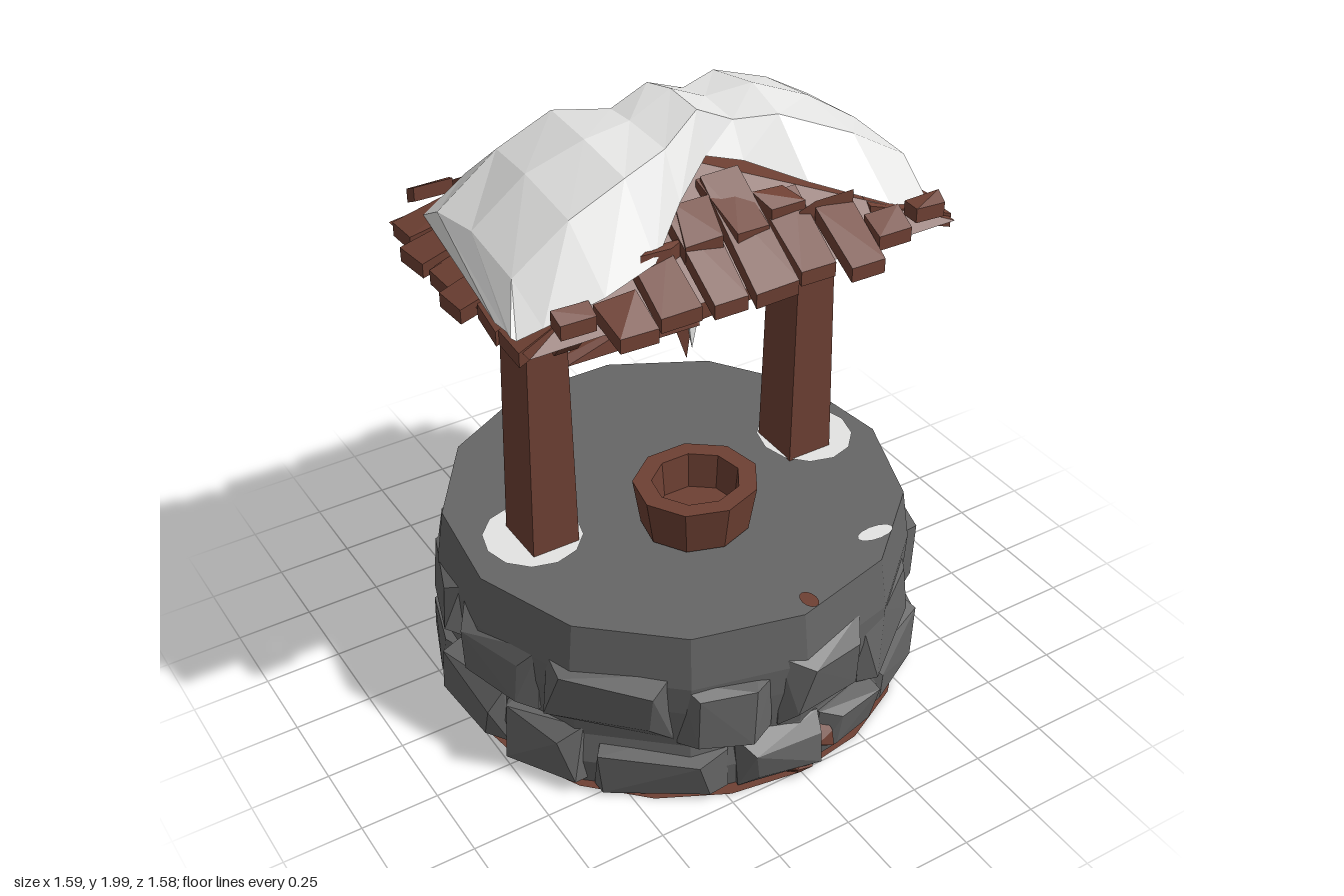
import * as THREE from 'three';
import { ConvexGeometry } from 'three/addons/geometries/ConvexGeometry.js';
import { mergeGeometries } from 'three/addons/utils/BufferGeometryUtils.js';

const material = (name, color, side = THREE.FrontSide) => {
  const m = new THREE.MeshStandardMaterial({ color, side, flatShading: true });
  m.name = name;
  return m;
};

// Small seeded random, from a to b
let seed = 11;
const rnd = (a, b) => {
  seed = (seed * 16807) % 2147483647;
  return a + (b - a) * (seed / 2147483647);
};

// Chunky solid spanned by its corner points
const hull = (pts) => new ConvexGeometry(pts.map((p) => new THREE.Vector3(...p)));

// Height of the hipped roof surface
const roofY = (x, z) => Math.max(1.58, Math.min(1.86 - Math.abs(x) * 0.38, 1.61 + (0.5 - Math.abs(z)) / 1.4));

// Open surface from equal-length rows of points
function skin(rows) {
  const n = rows[0].length, index = [];
  for (let i = 0; i < rows.length - 1; i++) {
    for (let j = 0; j < n - 1; j++) {
      const a = i * n + j, b = a + n;
      index.push(a, a + 1, b, a + 1, b + 1, b);
    }
  }
  const g = new THREE.BufferGeometry();
  g.setAttribute('position', new THREE.Float32BufferAttribute(rows.flat(2), 3));
  g.setIndex(index);
  const flat = g.toNonIndexed();
  flat.computeVertexNormals();
  return flat;
}

// Rough stone bent around the wall
function stone(angle, arc, y0, y1, rOut) {
  const pts = [];
  for (const s of [-1, 1]) {
    for (const y of [y0, y1]) {
      const up = y === y0 ? 1 : -1;
      const put = (r, a, h) => pts.push([Math.sin(a) * r, Math.max(0.004, h), Math.cos(a) * r]);
      put(0.64, angle + s * arc * 0.5, y);
      put(0.73, angle + s * arc * rnd(0.46, 0.56), y + up * rnd(-0.02, 0.02));
      put(rOut + rnd(-0.04, 0.01), angle + s * arc * rnd(0.24, 0.46), y + up * rnd(0, 0.06));
    }
  }
  return hull(pts);
}

export function createModel() {
  seed = 11;
  const well = new THREE.Group();
  well.name = 'well';
  const stoneMat = material('stone grey', 0x666666);
  const wood = material('wood brown', 0x6e4033, THREE.DoubleSide);
  const snow = material('snow white', 0xe4e4e3, THREE.DoubleSide);
  const add = (name, geo, mat) => {
    const m = new THREE.Mesh(geo, mat);
    m.name = name;
    well.add(m);
  };

  // Wall core with its top slab
  const profile = [[0.735, 0.003], [0.752, 0.1], [0.735, 0.2], [0.755, 0.35], [0.76, 0.45], [0.735, 0.625], [0, 0.625]];
  add('wallCore', new THREE.LatheGeometry(profile.map((p) => new THREE.Vector2(...p)), 13), stoneMat);
  add('bottom', new THREE.CircleGeometry(0.755, 20).rotateX(Math.PI / 2), wood);

  // Two courses of uneven stones
  const stones = [];
  for (const [y0, y1, r, turn, count] of [[0, 0.2, 0.795, 0.1, 13], [0.24, 0.475, 0.79, 0.35, 12]]) {
    const widths = Array.from({ length: count }, () => rnd(0.6, 1.2));
    const total = widths.reduce((a, b) => a + b);
    let angle = turn;
    for (const w of widths) {
      const arc = (w / total) * Math.PI * 2;
      stones.push(stone(angle + arc / 2, arc * rnd(0.85, 1), y0 + (y0 ? rnd(-0.06, 0.05) : 0), y1 + rnd(-0.04, 0.01), r));
      angle += arc;
    }
  }
  add('stones', mergeGeometries(stones), stoneMat);

  // Bits of wood showing between the stones
  const bits = [[0.1, 0.1, 0.05, 0.14], [0, 0.12, 0.004, 0.04], [1.6, 0.06, 0.27, 0.32], [0.75, 0.1, 0.004, 0.05],
    [2.35, 0.12, 0.004, 0.04], [3.6, 0.1, 0.22, 0.26], [4.4, 0.12, 0.004, 0.05]];
  add('woodBits', mergeGeometries(bits.map((b) => stone(...b, 0.775))), wood);

  // Flat patches on the slab: [x, z, radius x, radius z]
  const patch = (x, z, rx, rz) =>
    new THREE.CircleGeometry(1, 12).rotateX(-Math.PI / 2).scale(rx, 1, rz).translate(x, 0.63, z);
  add('snowPatches', mergeGeometries([
    patch(0.52, -0.01, 0.155, 0.165), patch(-0.5, -0.01, 0.155, 0.16), patch(0.4, 0.54, 0.065, 0.03),
  ]), snow);
  add('woodPatches', mergeGeometries([patch(-0.23, -0.63, 0.037, 0.063), patch(0.045, 0.69, 0.025, 0.037)]), wood);

  // Posts with braces reaching to both eaves
  for (const s of [-1, 1]) {
    const pts = [];
    for (const z of [-1, 1]) {
      pts.push([s * 0.392, 0.62, z * 0.09], [s * 0.55, 0.62, z * 0.09]);
      pts.push([s * 0.408, 1.66, z * 0.078], [s * 0.53, 1.66, z * 0.078]);
    }
    add(s > 0 ? 'leftPost' : 'rightPost', hull(pts), wood);
    for (const z of [-1, 1]) {
      const brace = [];
      for (const x of [0.46, 0.535]) {
        for (const [y, d] of [[1.5, 0.07], [1.44, 0.25], [1.58, 0.36], [1.64, 0.3], [1.65, 0.07]]) {
          brace.push([s * x, y, z * d]);
        }
      }
      add('brace', hull(brace), wood);
    }
  }

  // Winding bar: pointed half and straight half, with a hook
  add('windingBar', mergeGeometries([
    hull([[-0.38, 1.22, 0.02], [-0.38, 1.235, -0.01], [-0.02, 1.34, 0.03], [-0.02, 1.33, -0.06],
      [-0.03, 1.2, 0], [0.06, 1.24, 0.06], [0.08, 1.33, 0]]),
    hull([[-0.02, 1.34, 0.03], [0, 1.33, -0.05], [0.04, 1.24, 0.04], [0.04, 1.25, -0.04],
      [0.42, 1.34, 0.04], [0.42, 1.34, -0.04], [0.42, 1.27, 0.04], [0.42, 1.27, -0.04]]),
  ]), wood);
  add('hook', hull([[0.0, 1.22, 0.02], [0.06, 1.25, 0.02], [0.04, 1.25, -0.03], [0.045, 1.1, 0.01]]), wood);
  add('icicle', hull([[0.03, 1.23, 0.05], [0.08, 1.24, 0.02], [0.06, 1.24, -0.03], [0.055, 1.14, 0.025]]), snow);

  // Open bucket
  const bucketProfile = [[0, 0.635], [0.175, 0.635], [0.2, 0.79], [0.14, 0.79], [0.13, 0.67], [0, 0.67]];
  const bucket = new THREE.LatheGeometry(bucketProfile.map((p) => new THREE.Vector2(...p)), 9);
  add('bucket', bucket.scale(1, 1, 0.93).translate(-0.035, 0, 0.195), wood);
  add('bucketHandle', hull([[0.12, 0.78, 0.22], [0.165, 0.74, 0.17], [0.16, 0.64, 0.19], [0.1, 0.72, 0.17]]), wood);

  // Roof boards: open hipped shell
  const e = 0.7, d = 0.43, y = 1.585, top = 1.84;
  add('roofShell', mergeGeometries([
    skin([[[-e, y, -d], [-e, y, d]], [[0, top, -0.17], [0, top, 0.15]], [[e, y, -d], [e, y, d]]]),
    skin([[[-e, y, d], [e, y, d]], [[0, top, 0.15], [0, top, 0.15]]]),
    skin([[[e, y, -d], [-e, y, -d]], [[0, top, -0.17], [0, top, -0.17]]]),
  ]), wood);

  // Shingle lying between two points on the roof, spread along x or z
  const shingle = (a, b, w, across, lift) => {
    const pts = [];
    for (const p of [a, b]) {
      for (const s of [-1, 1]) {
        const o = s * w * rnd(0.38, 0.52);
        const tip = rnd(-0.012, 0.012);
        for (const h of [lift, lift - 0.045]) {
          pts.push([p[0] + (across === 'x' ? o : tip), p[1] + h + tip, p[2] + (across === 'z' ? o : tip)]);
        }
      }
    }
    return hull(pts);
  };
  const shingles = [];
  for (const s of [-1, 1]) {
    // front and back courses
    for (let i = 0; i < 9; i++) {
      const x = -0.56 + i * 0.145 + rnd(-0.012, 0.012);
      const hip = Math.min(0.4, 0.19 + Math.abs(x) * 0.5);
      const z0 = rnd(0.47, 0.53) - (Math.abs(x) > 0.5 ? 0.06 : 0);
      shingles.push(shingle([x, roofY(0, z0), s * z0], [x, roofY(0, hip) - 0.015, s * hip], 0.14, 'x', rnd(0.0, 0.025)));
      if (Math.abs(x) < 0.35) {
        const z1 = rnd(0.34, 0.39);
        shingles.push(shingle([x, roofY(0, z1), s * z1], [x * 0.8, roofY(0, hip) - 0.025, s * hip], 0.13, 'x', 0.03));
      }
    }
    // side courses
    for (let i = 0; i < 6; i++) {
      const z = -0.335 + i * 0.134;
      const x0 = rnd(0.7, 0.765);
      shingles.push(shingle([s * x0, 1.86 - x0 * 0.38, z], [s * 0.45, 1.67, z * 0.9], 0.135, 'z', rnd(0, 0.025)));
    }
  }
  add('shingles', mergeGeometries(shingles), wood);

  // Snow blanket, cross-sections along x: [x, back z, front z, crest y]
  const sections = [
    [-0.7, 0.26, 0.36, 1.62], [-0.63, -0.34, 0.38, 1.74], [-0.46, -0.41, 0.41, 1.87], [-0.28, -0.35, 0.37, 1.94],
    [-0.13, -0.22, 0.25, 1.94], [0.01, -0.19, 0.16, 1.99], [0.13, -0.22, 0.17, 1.93], [0.27, -0.36, 0.29, 1.94],
    [0.48, -0.43, 0.4, 1.86], [0.65, -0.4, 0.37, 1.75], [0.765, -0.23, -0.03, 1.6],
  ];
  const spread = [0, 0.2, 0.5, 0.8, 1];
  add('snowBlanket', skin(sections.map(([x, z0, z1, crest]) => spread.map((t, j) => {
    const inner = j > 0 && j < 4;
    const base = roofY(x, t < 0.5 ? z0 : z1) + 0.01;
    const rise = j === 2 ? 1 : inner ? 0.95 - Math.abs(x) * 0.25 : 0;
    const jitter = inner ? 0.025 : 0;
    return [x + rnd(-jitter, jitter), base + (crest - base) * rise, z0 + (z1 - z0) * t + rnd(-jitter, jitter)];
  }))), snow);

  return well;
}
